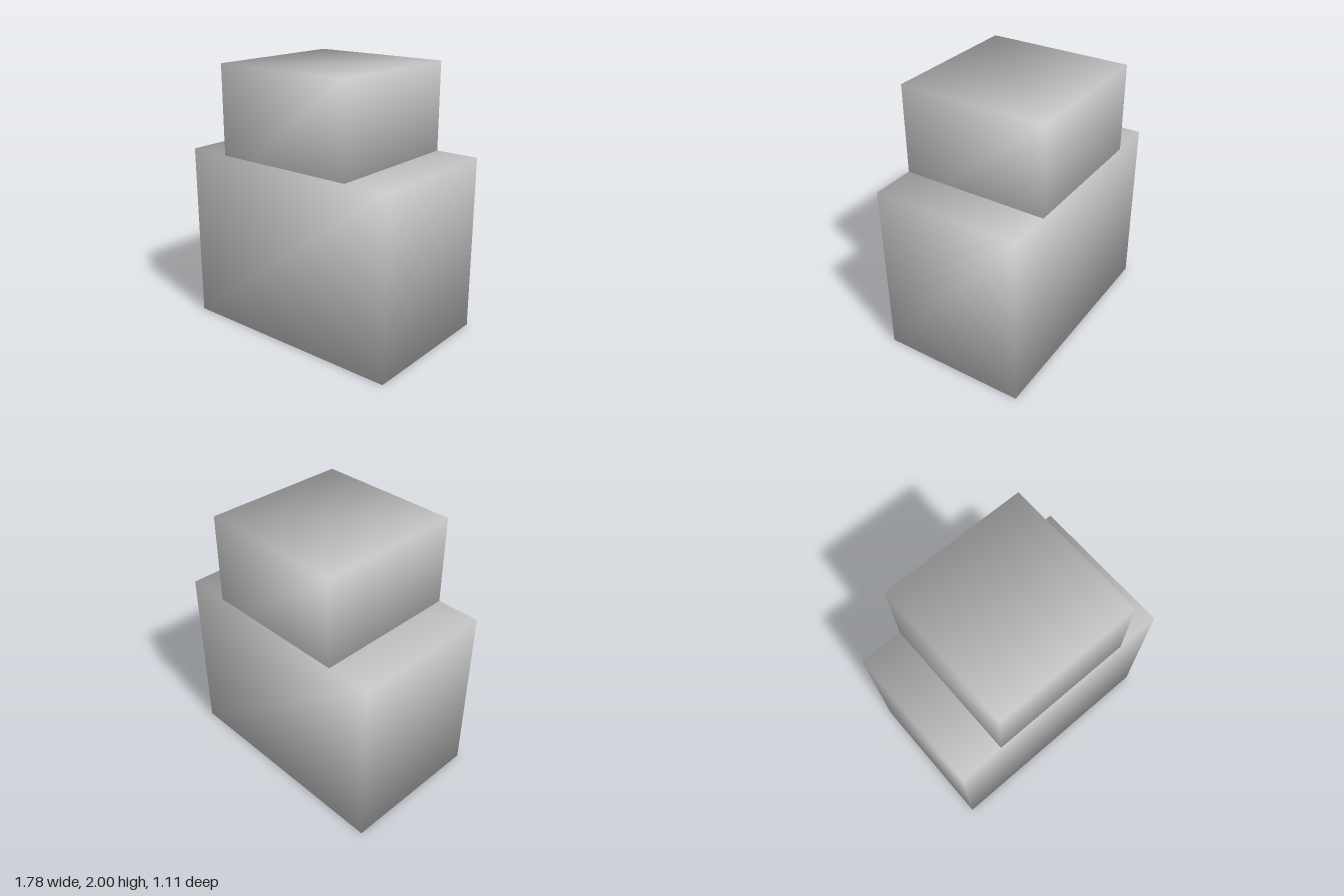
import * as THREE from 'three';
import { mergeVertices } from 'three/addons/utils/BufferGeometryUtils.js';

const material = new THREE.MeshStandardMaterial({ color: 0xcccccc });

// Box with corners shared by all faces, so shading runs smoothly over the edges
function softBox(name, width, height, depth, bottom) {
  let geometry = new THREE.BoxGeometry(width, height, depth);
  geometry.deleteAttribute('normal');
  geometry.deleteAttribute('uv');
  geometry = mergeVertices(geometry);
  // Each corner normal points evenly away from its three faces
  const p = geometry.attributes.position;
  const normals = new Float32Array(p.count * 3);
  for (let i = 0; i < p.array.length; i++) normals[i] = Math.sign(p.array[i]) / Math.sqrt(3);
  geometry.setAttribute('normal', new THREE.BufferAttribute(normals, 3));
  const mesh = new THREE.Mesh(geometry, material);
  mesh.name = name;
  mesh.position.y = bottom + height / 2;
  return mesh;
}

export function createModel() {
  const model = new THREE.Group();
  model.name = 'steppedBlock';
  // Wide lower block
  model.add(softBox('lowerBlock', 1.778, 1.333, 1.111, 0));
  // Narrow upper block, sunk into the lower one and a hair shallower to keep the faces apart
  model.add(softBox('upperBlock', 1.111, 0.889, 1.109, 1.111));
  return model;
}
